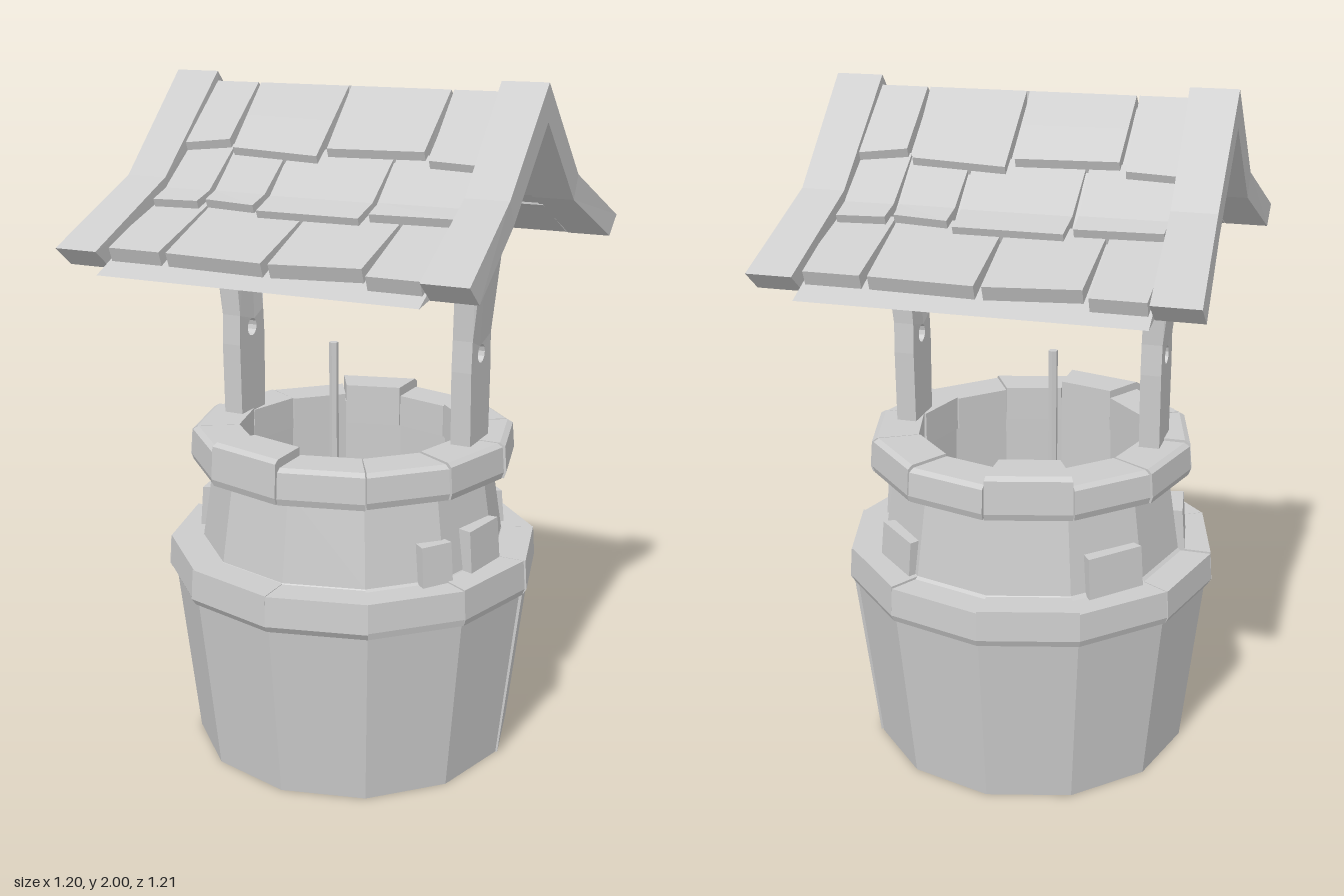
import * as THREE from 'three';

const mat = new THREE.MeshStandardMaterial({ color: 0xcccccc, flatShading: true, side: THREE.DoubleSide });

function add(parent, name, geo) {
  const m = new THREE.Mesh(geo, mat);
  m.name = name;
  parent.add(m);
  return m;
}

// Closed solid through equal-length loops of [x, y, z]; turned outward by its signed volume
function loft(loops) {
  const tris = [], n = loops[0].length, last = loops[loops.length - 1];
  for (let s = 0; s + 1 < loops.length; s++) {
    for (let i = 0; i < n; i++) {
      const j = (i + 1) % n, A = loops[s], B = loops[s + 1];
      tris.push([A[i], A[j], B[j]], [A[i], B[j], B[i]]);
    }
  }
  for (let i = 1; i + 1 < n; i++) {
    tris.push([loops[0][0], loops[0][i + 1], loops[0][i]], [last[0], last[i], last[i + 1]]);
  }
  let vol = 0;
  for (const [a, b, c] of tris) {
    vol += a[0] * (b[1] * c[2] - b[2] * c[1]) + a[1] * (b[2] * c[0] - b[0] * c[2]) + a[2] * (b[0] * c[1] - b[1] * c[0]);
  }
  if (vol < 0) tris.forEach((t) => t.reverse());
  const g = new THREE.BufferGeometry();
  g.setAttribute('position', new THREE.Float32BufferAttribute(tris.flat(2), 3));
  g.computeVertexNormals();
  return g;
}

// Small repeatable variation in -1..1
const vary = (i) => { const s = Math.sin(i * 12.99 + 4.1) * 437.58; return 2 * (s - Math.floor(s)) - 1; };

// Stone with an [r, y] section between two angles in degrees, 0 at the front, 90 at the left
function stone(section, a0, a1) {
  return loft([a0, a1].map((d) => {
    const a = THREE.MathUtils.degToRad(d);
    return section.map(([r, y]) => [r * Math.sin(a), y, r * Math.cos(a)]);
  }));
}

// Height of the roof's outer line at distance z from the ridge
const BEND = 0.28, EAVE = 0.605;
const roofY = (z) => z < BEND ? 1.995 - (z / BEND) * 0.275 : 1.72 - ((z - BEND) / (EAVE - BEND)) * 0.16;

// Roof shingle: top edge at za, lower edge slanting from zl to zr
function shingle(x0, x1, za, zl, zr, topLift) {
  const gap = 0.004, th = 0.04;
  return loft([[x0 + gap, zl, 0.007], [x1 - gap, zr, -0.007]].map(([x, zb, taper]) => {
    const zm = za < BEND && zb > BEND ? BEND : (za + zb) / 2;
    const t = (zm - za) / (zb - za);
    const lift = (k) => topLift + (-0.014 - topLift) * k;
    const pt = (z, k, down, back = 0) => [x + taper * k, roofY(z) + lift(k) - down, z - back];
    return [pt(zm, t, 0), pt(zb, 1, 0), pt(zb, 1, th, 0.015), pt(zm, t, th), pt(za, 0, th), pt(za, 0, 0)];
  }));
}

// Strip across the whole roof; xs gives [inner, outer] x at ridge, bend and eave
function roofStrip(xs, top, bottom, endCut) {
  const stations = [[-EAVE, 2], [-BEND, 1], [0, 0], [BEND, 1], [EAVE, 2]];
  return loft(stations.map(([z, k]) => {
    const [a, b] = xs[k];
    const zi = z * (k === 2 ? endCut : k === 1 ? 0.88 : 1);
    const yo = roofY(Math.abs(z)) + top;
    const yi = [1.895, 1.655, 1.508][k] + bottom;
    return [[a, yo, z], [b, yo, z], [b, yi, zi], [a, yi, zi]];
  }));
}

function buildWell() {
  const well = new THREE.Group();
  well.name = 'well';

  // Twelve-sided wall, hollow inside
  const profile = [[0, 0], [0.48, 0], [0.54, 0.54], [0.5, 0.6], [0.455, 0.64], [0.415, 0.9],
    [0.38, 0.95], [0.345, 0.95], [0.35, 0.45], [0, 0.45]];
  add(well, 'wall', new THREE.LatheGeometry(profile.map(([r, y]) => new THREE.Vector2(r, y)), 12));

  // Slightly raised wall panel
  add(well, 'wallPanel', stone([[0.46, 0], [0.486, 0], [0.549, 0.54], [0.5, 0.54]], 90, 119));

  // Two rings of stones
  for (let i = 0; i < 12; i++) {
    const a0 = i * 30, a1 = a0 + 30, v = vary(i) * 0.006, w = vary(i + 20) * 0.005;
    add(well, 'middleRingStone', stone([[0.42, 0.53], [0.548, 0.53], [0.556 + v, 0.55],
      [0.55 + v, 0.635 + w], [0.42, 0.635 + w]], a0, a1));
    const top = (i === 11 || i === 6 ? 1.003 : 0.982) + w;
    add(well, 'topRingStone', stone([[0.337 + v, 0.88], [0.475 + v, 0.88], [0.482 + v, 0.9],
      [0.476 + v, top - 0.01], [0.46 + v, top], [0.337 + v, top]], a0 + 0.3, a1 - 0.3));
  }

  // Stones standing out of the neck
  for (const [a0, a1, top] of [[71, 90, 0.76], [126, 148, 0.74], [216, 238, 0.75], [270, 289, 0.76], [50, 62, 0.75]]) {
    add(well, 'neckStone', stone([[0.4, 0.63], [0.475, 0.63], [0.465, top], [0.4, top]], a0, a1));
  }
  return well;
}

// Post with a crank hole, bending outward toward the roof
function postGeometry() {
  const half = [[0.95, 0.07], [1.1, 0.073], [1.2, 0.075], [1.29, 0.07], [1.4, 0.076], [1.55, 0.077],
    [1.7, 0.077], [1.82, 0.077]];
  const pts = [...half.map(([y, z]) => [z, y]), [0, 1.92], ...half.map(([y, z]) => [-z, y]).reverse()];
  const shape = new THREE.Shape(pts.map(([z, y]) => new THREE.Vector2(z, y)));
  const hole = new THREE.Path();
  hole.absarc(0, 1.243, 0.027, Math.PI / 6, Math.PI / 6 + Math.PI * 2, true);
  shape.holes.push(hole);
  const g = new THREE.ExtrudeGeometry(shape, { depth: 0.06, bevelEnabled: false, curveSegments: 6 });
  g.rotateY(Math.PI / 2);
  const p = g.attributes.position;
  for (let i = 0; i < p.count; i++) {
    const bend = Math.max(0, p.getY(i) - 1.25);
    p.setX(i, p.getX(i) + 0.342 + 0.22 * bend * bend);
  }
  g.computeVertexNormals();
  return g;
}

function buildRoof() {
  const roof = new THREE.Group();
  roof.name = 'roof';

  // Underlying sheet
  add(roof, 'roofSheet', roofStrip([[-0.46, 0.46], [-0.46, 0.46], [-0.47, 0.47]], -0.06, 0.005, 0.86));

  // Shingle rows: [x0, x1, lower z at x0, lower z at x1]
  const rows = [
    { za: 0, lift: -0.025, cells: [[-0.46, -0.3, 0.175, 0.16], [-0.3, -0.01, 0.18, 0.19],
      [-0.01, 0.3, 0.17, 0.165], [0.3, 0.46, 0.185, 0.19]] },
    { za: 0.14, lift: -0.05, cells: [[-0.46, -0.3, 0.35, 0.345], [-0.3, -0.125, 0.335, 0.345],
      [-0.125, 0.2, 0.365, 0.365], [0.2, 0.46, 0.345, 0.34]] },
    { za: 0.3, lift: -0.045, cells: [[-0.47, -0.29, 0.56, 0.56], [-0.29, 0.02, 0.56, 0.565],
      [0.02, 0.3, 0.565, 0.55], [0.3, 0.47, 0.575, 0.575]] },
  ];
  for (const turn of [0, Math.PI]) {
    const slope = new THREE.Group();
    slope.name = turn ? 'backSlope' : 'frontSlope';
    slope.rotation.y = turn;
    for (const { za, lift, cells } of rows) {
      for (const [x0, x1, zl, zr] of cells) add(slope, 'shingle', shingle(x0, x1, za, zl, zr, lift));
    }
    roof.add(slope);
  }

  // End boards
  for (const s of [1, -1]) {
    const xs = [[0.44, 0.575], [0.452, 0.576], [0.47, 0.6]].map(([a, b]) => [a * s, b * s]);
    add(roof, s > 0 ? 'leftEndBoard' : 'rightEndBoard', roofStrip(xs, 0.003, 0, 0.89));
  }
  return roof;
}

export function createModel() {
  const model = new THREE.Group();
  model.name = 'wishingWell';
  model.add(buildWell(), buildRoof());

  // Posts, the second one turned round to the other side
  add(model, 'leftPost', postGeometry());
  add(model, 'rightPost', postGeometry()).rotation.y = Math.PI;

  // Rope hanging into the well
  const rope = add(model, 'rope', new THREE.CylinderGeometry(0.014, 0.014, 0.775, 6));
  rope.position.set(-0.065, 0.8375, 0);
  return model;
}
